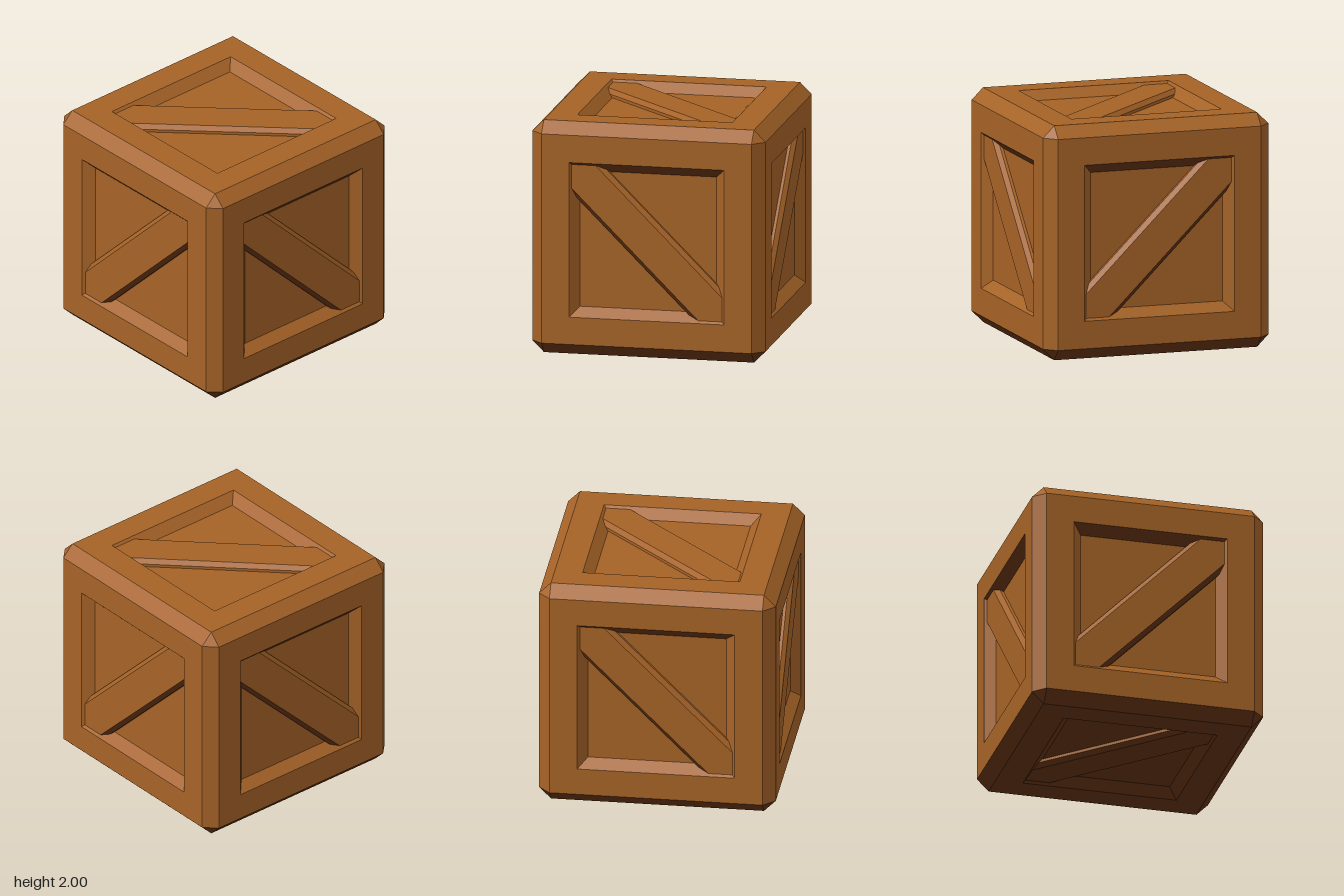
import * as THREE from 'three';

const OUT = 0.9;    // half size of each flat side, inside the bevelled edges
const HOLE = 0.665; // half size of the recess opening
const DEPTH = 0.08; // recess depth

// Non-indexed geometry from convex polygons (corners counter-clockwise from outside)
function facets(polys) {
  const pos = [];
  for (const p of polys)
    for (let i = 1; i < p.length - 1; i++) pos.push(...p[0], ...p[i], ...p[i + 1]);
  const g = new THREE.BufferGeometry();
  g.setAttribute('position', new THREE.Float32BufferAttribute(pos, 3));
  g.computeVertexNormals();
  return g;
}

// Square outline at half size s and depth d below the side's surface
const square = (s, d) => [[-s, -s, 1 - d], [s, -s, 1 - d], [s, s, 1 - d], [-s, s, 1 - d]];

// Four quads joining an outer square to an inner one
function ring(a, b) {
  return a.map((p, i) => {
    const j = (i + 1) % 4;
    return [p, a[j], b[j], b[i]];
  });
}

// Diagonal brace outline, clipped by the sloping recess walls; b is its half width along a side
function braceOutline(d, b) {
  const s = HOLE - d, z = 1 - d;
  return [[-s, s, z], [-s, s - b, z], [s - b, -s, z], [s, -s, z], [s, b - s, z], [b - s, s, z]];
}

function braceGeometry() {
  const layers = [braceOutline(0.02, 0.205), braceOutline(0.055, 0.255), braceOutline(DEPTH, 0.255)];
  const polys = [layers[0]];
  // bevel and upright flank on each long edge
  for (let k = 0; k < 2; k++)
    for (const i of [1, 4])
      polys.push([layers[k][i], layers[k + 1][i], layers[k + 1][i + 1], layers[k][i + 1]]);
  return facets(polys);
}

export function createModel() {
  const model = new THREE.Group();
  model.name = 'crate';
  const wood = new THREE.MeshStandardMaterial({ color: 0xa66327 });
  wood.name = 'brown wood';
  const darkWood = new THREE.MeshStandardMaterial({ color: 0x643314 });
  darkWood.name = 'dark brown underside';

  // Turns a part into place; its downward-facing facets take the dark wood
  const add = (parent, source, name, rx, ry, rz) => {
    const turn = new THREE.Matrix4().makeRotationFromEuler(new THREE.Euler(rx, ry, rz));
    const geometry = source.clone().applyMatrix4(turn);
    const normal = geometry.attributes.normal;
    for (let i = 0; i < normal.count; i += 3) geometry.addGroup(i, 3, normal.getY(i) < -0.1 ? 1 : 0);
    const mesh = new THREE.Mesh(geometry, [wood, darkWood]);
    mesh.name = name;
    parent.add(mesh);
  };

  const body = new THREE.Group();
  body.name = 'body';
  body.position.y = 1;
  model.add(body);

  // Six sides: flat frame, sunken panel and diagonal brace
  const floor = square(HOLE - DEPTH, DEPTH);
  const frameGeo = facets(ring(square(OUT, 0), square(HOLE, 0)));
  const panelGeo = facets([...ring(square(HOLE, 0), floor), floor]);
  const braceGeo = braceGeometry();
  const q = Math.PI / 2;
  const sides = [
    ['front', 0, 0, 0], ['back', 0, 2 * q, 0],
    ['left', 0, q, q], ['right', 0, -q, q],
    ['top', -q, 0, 0], ['bottom', q, 0, 0],
  ];
  for (const [name, ...turn] of sides) {
    const side = new THREE.Group();
    side.name = name + 'Side';
    add(side, frameGeo, 'frame', ...turn);
    add(side, panelGeo, 'recessedPanel', ...turn);
    add(side, braceGeo, 'diagonalBrace', ...turn);
    body.add(side);
  }

  // Bevelled edges and clipped corners, repeated around the vertical axis
  const edgeGeo = facets([[[OUT, -OUT, 1], [1, -OUT, OUT], [1, OUT, OUT], [OUT, OUT, 1]]]);
  const rimGeo = facets([[[-OUT, OUT, 1], [OUT, OUT, 1], [OUT, 1, OUT], [-OUT, 1, OUT]]]);
  const cornerGeo = facets([[[OUT, OUT, 1], [1, OUT, OUT], [OUT, 1, OUT]]]);
  const trim = new THREE.Group();
  trim.name = 'edgeTrim';
  for (let i = 0; i < 4; i++) {
    add(trim, edgeGeo, 'uprightEdge', 0, i * q, 0);
    for (const [name, flip] of [['top', 0], ['bottom', Math.PI]]) {
      add(trim, rimGeo, name + 'Edge', flip, i * q, 0);
      add(trim, cornerGeo, name + 'Corner', flip, i * q, 0);
    }
  }
  body.add(trim);
  return model;
}
